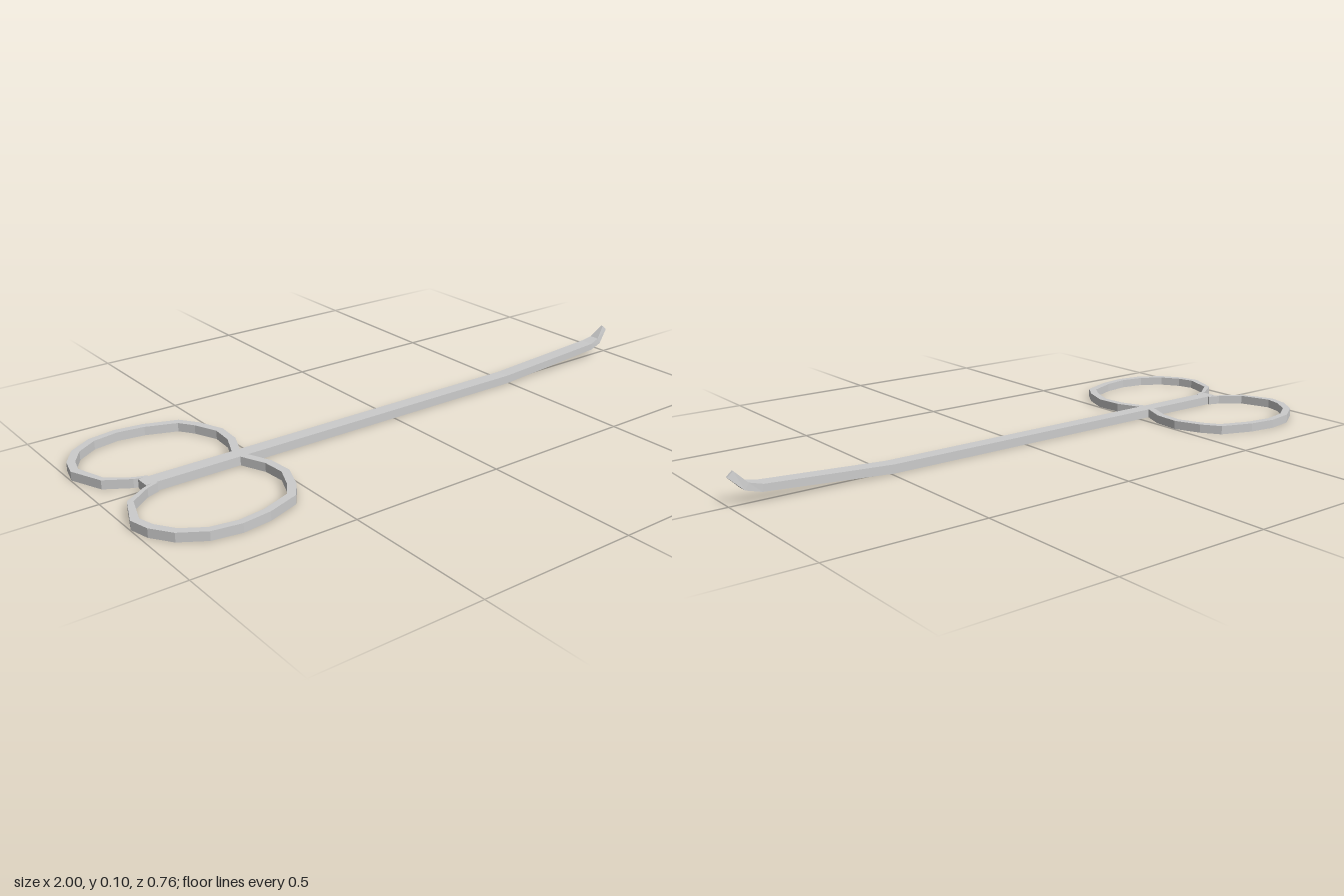
import * as THREE from 'three';

const HEIGHT = 0.028;
const metal = new THREE.MeshStandardMaterial({ color: 0xcccccc, flatShading: true, side: THREE.DoubleSide });

// Outer edge of one finger ring: x, distance from the centre line, band thickness
const RING = [
  [-0.84, 0.02, 0.01], [-0.88, 0.032, 0.012], [-0.955, 0.08, 0.018], [-0.998, 0.185, 0.025],
  [-0.982, 0.25, 0.025], [-0.938, 0.315, 0.025], [-0.863, 0.363, 0.024], [-0.773, 0.378, 0.023],
  [-0.682, 0.366, 0.024], [-0.578, 0.328, 0.026], [-0.537, 0.27, 0.026], [-0.504, 0.185, 0.025],
  [-0.51, 0.1, 0.025], [-0.545, 0.015, 0.025],
];

// Flat band following the outline, offset inwards by its thickness
function fingerRing(side) {
  const outer = RING.map(([x, z]) => new THREE.Vector2(x, z));
  const inner = outer.map((p, i) => {
    const a = outer[Math.max(i - 1, 0)], b = outer[Math.min(i + 1, outer.length - 1)];
    const t = b.clone().sub(a).normalize();
    return new THREE.Vector2(p.x + t.y * RING[i][2], p.y - t.x * RING[i][2]);
  });
  const points = [...outer, ...inner.reverse()].map(p => new THREE.Vector2(p.x, p.y * side));
  const geo = new THREE.ExtrudeGeometry(new THREE.Shape(points), { depth: HEIGHT, bevelEnabled: false });
  geo.rotateX(Math.PI / 2).translate(0, HEIGHT, 0);
  return new THREE.Mesh(geo, metal);
}

// Rectangular bar lofted through sections: bottom x, bottom y, top x, top y, half width
function shaft() {
  const sections = [
    [-0.87, 0, -0.87, HEIGHT, 0.0235],
    [0.49, 0, 0.49, HEIGHT, 0.0235],
    [0.91, 0.031, 0.905, 0.053, 0.0235],
    [0.957, 0.043, 0.945, 0.063, 0.017],
    [1.0, 0.084, 0.982, 0.1, 0.004],
  ];
  const pos = [], index = [];
  for (const [bx, by, tx, ty, w] of sections) pos.push(bx, by, w, bx, by, -w, tx, ty, -w, tx, ty, w);
  for (let s = 0; s < sections.length - 1; s++) {
    for (let k = 0; k < 4; k++) {
      const a = s * 4 + k, b = s * 4 + (k + 1) % 4;
      index.push(a, b, b + 4, a, b + 4, a + 4);
    }
  }
  const e = (sections.length - 1) * 4;
  index.push(0, 2, 1, 0, 3, 2, e, e + 1, e + 2, e, e + 2, e + 3);
  const geo = new THREE.BufferGeometry();
  geo.setAttribute('position', new THREE.Float32BufferAttribute(pos, 3));
  geo.setIndex(index);
  const flat = geo.toNonIndexed();
  flat.computeVertexNormals();
  return new THREE.Mesh(flat, metal);
}

export function createModel() {
  const group = new THREE.Group();
  group.name = 'surgicalClamp';

  const bar = shaft();
  bar.name = 'shaftWithCurvedTip';
  group.add(bar);

  for (const [name, side] of [['frontFingerRing', 1], ['backFingerRing', -1]]) {
    const ring = fingerRing(side);
    ring.name = name;
    group.add(ring);
  }
  return group;
}
